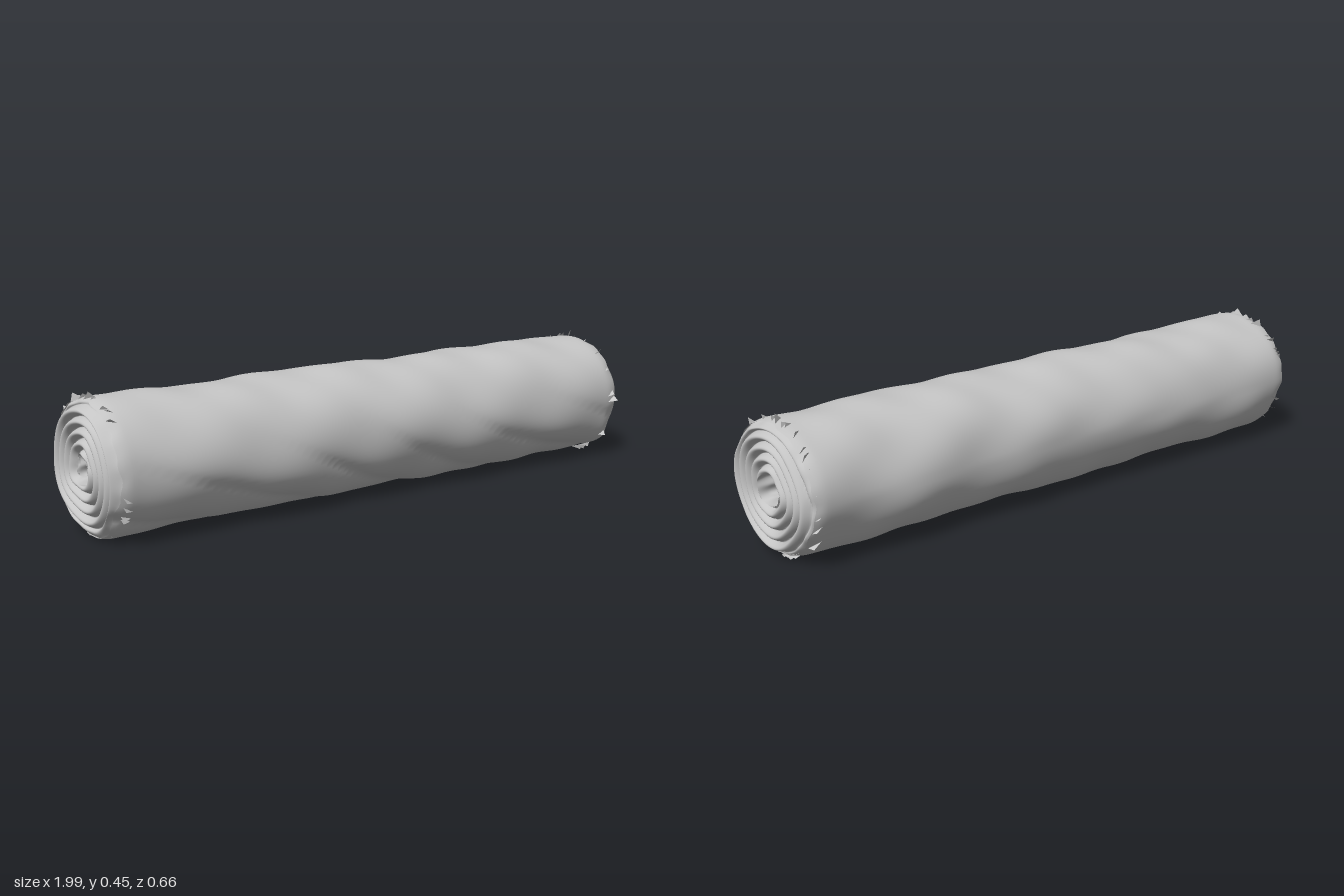
import * as THREE from 'three';
import { mergeVertices } from 'three/addons/utils/BufferGeometryUtils.js';

const R = 0.213, CY = 0.218, RIM = 0.962, TAU = Math.PI * 2;
const { sin, cos, abs, max, min, exp, pow } = Math;

// Smooth surface from a function of two parameters; the front faces along du x dv
function surface(fn, nu, nv, flip) {
  const pos = [], idx = [];
  for (let i = 0; i <= nu; i++)
    for (let j = 0; j <= nv; j++) pos.push(...fn(i / nu, j / nv));
  for (let i = 0; i < nu; i++)
    for (let j = 0; j < nv; j++) {
      const a = i * (nv + 1) + j, d = a + 1, b = a + nv + 1, c = b + 1;
      if (flip) idx.push(a, c, b, a, d, c);
      else idx.push(a, b, c, a, c, d);
    }
  let g = new THREE.BufferGeometry();
  g.setAttribute('position', new THREE.Float32BufferAttribute(pos, 3));
  g.setIndex(idx);
  g = mergeVertices(g, 1e-4);
  g.computeVertexNormals();
  return g;
}

// Place a point of the roll: the axis runs slightly askew across x
function place(x, r, a) {
  const y = r * sin(a), z = r * cos(a);
  return [x - 0.04 * z, max(0.003, CY + y), z - 0.004 + 0.114 * x];
}

// Cloth folds: gentle lumps plus slanting creases low on the front
function folds(x, a) {
  const lumps = 0.0028 * sin(9 * x + 2 * a) + 0.0022 * sin(17 * x - 3 * a + 1)
    + 0.0018 * sin(5 * a + 6 * x) + 0.0015 * sin(31 * x + 4 * a);
  const low = exp(-pow((a + 0.75) / 0.6, 2));
  const wave = pow(abs(sin((x + 0.42 * a + 0.06 * sin(4 * x)) * 7.8)), 0.7);
  const back = exp(-pow((abs(a) - 2.7) / 0.5, 2));
  return lumps - 0.02 * low * (1 - wave) + 0.004 * back * sin(14 * x + 2.2 * sin(a));
}

// Uneven edge of the outer layer
const ragged = (a, side) => 0.004 * sin(7 * a + side) + 0.003 * sin(17 * a + 2 * side);

function rollBody() {
  return surface((u, v) => {
    const x0 = (2 * u - 1), a = (v * 2 - 1) * Math.PI;
    const end = max(0, (abs(x0) - 0.96) / 0.04);
    const side = x0 < 0 ? -1 : 1;
    const x = x0 * RIM + side * end * ragged(a, side);
    return place(x, R + folds(x, a) - 0.008 * end * end, a);
  }, 150, 96, false);
}

// Rolled layers seen at each end: spiral ridges around a deep centre hole
function rollEnd(side) {
  const pitch = 0.034, hole = 0.05;
  return surface((u, v) => {
    const a = (v * 2 - 1) * Math.PI;
    if (u > 0.85) {
      const t = (u - 0.85) / 0.15;
      const lobed = 1 + 0.13 * cos(6 * a + Math.PI / 2 * 2);
      const r = hole * lobed * (t < 0.6 ? 1 - 0.25 * t : 0.85 * (1 - t) / 0.4);
      return place(side * (0.972 - 0.09 * min(1, t / 0.6)), r, a);
    }
    const t = u / 0.85;
    const r = R - 0.008 + (hole - R + 0.008) * t;
    const wob = 0.003 * sin(3 * a + 9 * r) + 0.002 * sin(5 * a + side);
    const q = (r + wob) / pitch - side * a / TAU;
    const ridge = pow(abs(sin(Math.PI * q)), 0.8);
    const rise = min(1, t / 0.14);
    const x = RIM - 0.006 * (1 - rise) + rise * (0.026 * ridge + 0.002 * sin(2 * a))
      + (1 - rise) * ragged(a, side);
    const wobble = 1 + 0.012 * sin(4 * a + side) * min(1, t * 5);
    const edge = (1 - rise) * folds(side * RIM, a);
    return place(side * x, r * wobble + edge, a);
  }, 80, 96, side > 0);
}

// Small frayed scraps along the rim
function fray(side) {
  let seed = side > 0 ? 11 : 47;
  const rnd = () => (seed = (seed * 16807) % 2147483647) / 2147483647;
  for (let i = 0; i < 5; i++) rnd();
  const pos = [];
  const big = side > 0 ? [0.02, 0.88, 2.3, -0.64, 1.6] : [Math.PI - 0.75, 3.78, 1.55, 2.0];
  const scraps = big.map(a => [a, 0.02]);
  for (let i = 0; i < 22; i++) scraps.push([rnd() * TAU, 0.005 + 0.006 * rnd()]);
  for (const [a, h] of scraps) {
    const x = side * (RIM - 0.02 + 0.015 * rnd()), w = 0.03 + 0.04 * rnd();
    pos.push(...place(x - side * 0.03, R - 0.006, a - w),
      ...place(x + side * 0.006, R - 0.006, a + w),
      ...place(x, R + h, a + (rnd() - 0.5) * w));
  }
  const g = new THREE.BufferGeometry();
  g.setAttribute('position', new THREE.Float32BufferAttribute(pos, 3));
  g.computeVertexNormals();
  return g;
}

export function createModel() {
  const model = new THREE.Group();
  model.name = 'clothRoll';
  const cloth = new THREE.MeshStandardMaterial({ color: 0xc4c4c4, side: THREE.DoubleSide });
  cloth.name = 'greyCloth';
  const add = (geometry, name) => {
    const mesh = new THREE.Mesh(geometry, cloth);
    mesh.name = name;
    model.add(mesh);
  };
  add(rollBody(), 'outerLayer');
  for (const [side, name] of [[1, 'left'], [-1, 'right']]) {
    add(rollEnd(side), name + 'SpiralEnd');
    add(fray(side), name + 'FrayedEdge');
  }
  return model;
}
